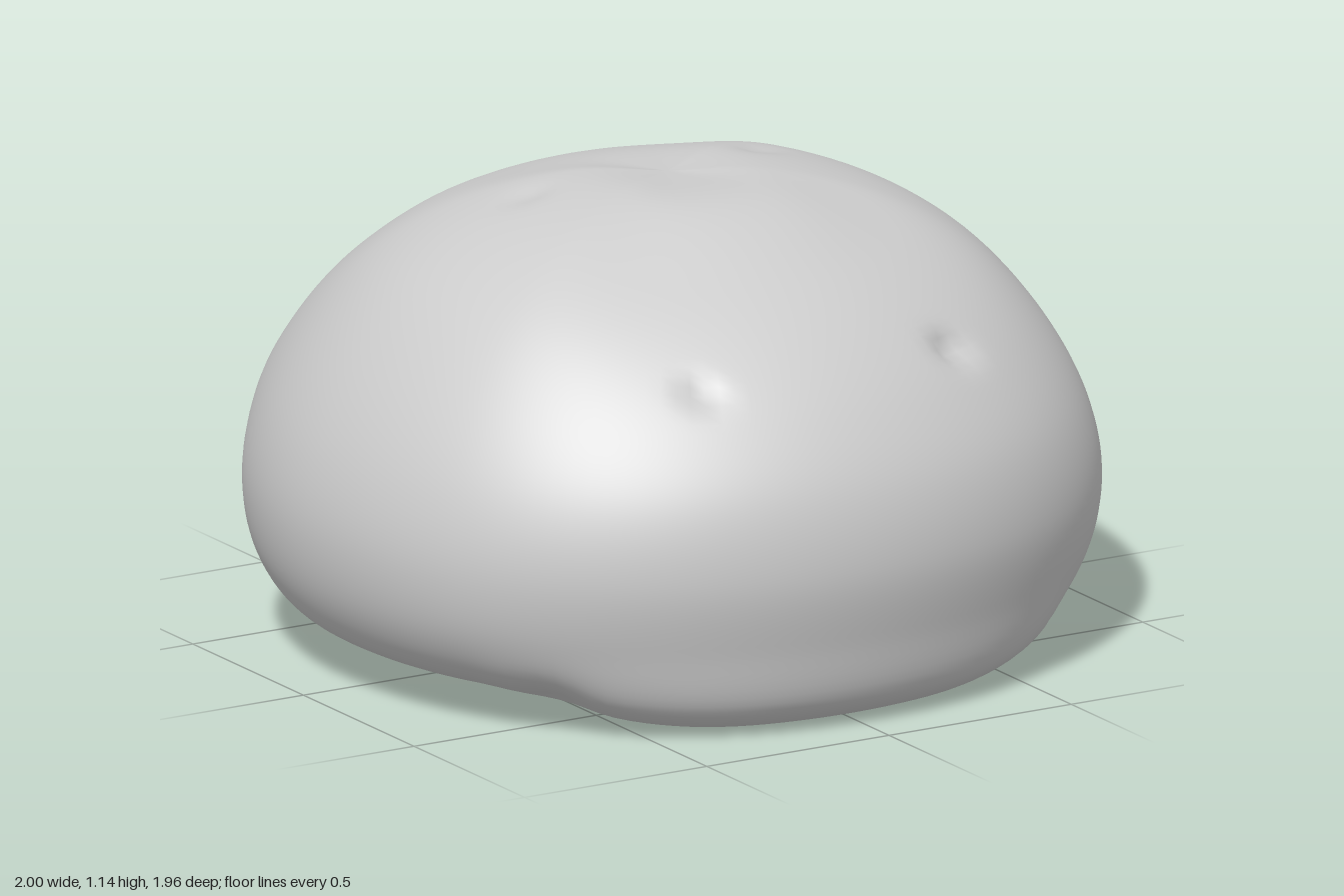
import * as THREE from 'three';
import { mergeVertices } from 'three/addons/utils/BufferGeometryUtils.js';

// Radius/height profiles from the hollow underside, round the rim, up to the crown
const makeProfile = (pairs) =>
  new THREE.CatmullRomCurve3(pairs.map(([r, y]) => new THREE.Vector3(r, y, 0)), false, 'centripetal');

const SIDE = makeProfile([[0, 0.18], [0.3, 0.175], [0.44, 0.145], [0.6, 0.095], [0.75, 0.07], [0.89, 0.12], [0.97, 0.23],
  [1, 0.4], [0.965, 0.58], [0.86, 0.775], [0.7, 0.95], [0.5, 1.065], [0.22, 1.135], [0, 1.13]]);
const FRONT = makeProfile([[0, 0.18], [0.28, 0.165], [0.44, 0.115], [0.62, 0.045], [0.78, 0], [0.9, 0.06], [0.95, 0.22],
  [0.98, 0.4], [0.95, 0.58], [0.86, 0.74], [0.73, 0.88], [0.56, 1.0], [0.3, 1.12], [0, 1.13]]);
const BACK = makeProfile([[0, 0.18], [0.3, 0.17], [0.44, 0.125], [0.6, 0.065], [0.77, 0.03], [0.9, 0.08], [0.935, 0.22],
  [0.975, 0.4], [0.97, 0.6], [0.88, 0.75], [0.75, 0.88], [0.58, 1.005], [0.25, 1.115], [0, 1.13]]);

// Small dents: x, y, z, width, depth
const DENTS = [
  [0.35, 0.83, 0.73, 0.045, 0.035], [-0.35, 0.82, 0.73, 0.04, 0.025],
  [0.65, 0.09, 0.58, 0.08, 0.03], [-0.65, 0.09, 0.58, 0.08, 0.03],
  [0.38, 0.75, -0.79, 0.05, 0.045], [-0.32, 0.8, -0.8, 0.06, 0.025],
  [0.3, 1.11, -0.08, 0.05, 0.012], [-0.35, 1.1, -0.06, 0.05, 0.012],
];

const bell = (d, width) => Math.exp(-((d / width) ** 2));

function capGeometry() {
  const rows = 100, columns = 144;
  const blank = Array.from({ length: rows + 1 }, (_, j) => new THREE.Vector2(1, j / rows));
  const geometry = new THREE.LatheGeometry(blank, columns);
  const position = geometry.attributes.position;
  const lobeCentre = new THREE.Vector3(0, 0.45, -0.98);
  const core = new THREE.Vector3(0, 0.5, 0);
  const p = new THREE.Vector3(), inward = new THREE.Vector3(), q = new THREE.Vector3();

  for (let i = 0; i < position.count; i++) {
    const angle = (Math.floor(i / (rows + 1)) % columns) / columns * Math.PI * 2;
    const t = (i % (rows + 1)) / rows;
    const c = Math.cos(angle);

    // Blend the side profile into the front and back lobes, fuller at the front corners
    const side = SIDE.getPoint(t), end = (c > 0 ? FRONT : BACK).getPoint(t);
    side.lerp(end, THREE.MathUtils.smoothstep(Math.abs(c), 0.45, 0.97));
    const corner = c > 0 ? 0.025 * Math.sin(2 * angle) ** 2 : 0;
    const r = Math.max(0, side.x) * (1 + corner);
    p.set(r * Math.sin(angle), side.y, r * c);

    // Radial folds on the front wall of the hollow
    if (t < 0.35) p.y += 0.012 * Math.max(0, c) * Math.cos(angle * 9) * bell(r - 0.5, 0.13);

    // Soft crease around the back lobe, then the small dents
    inward.copy(core).sub(p).normalize();
    let push = 0;
    if (t > 0.35 && p.z < 0) {
      const fade = THREE.MathUtils.smoothstep(0.95 - p.y, 0, 0.3) * THREE.MathUtils.smoothstep(p.y, 0.1, 0.4);
      push += 0.016 * fade * bell(p.distanceTo(lobeCentre) - 0.66, 0.1);
    }
    for (const [x, y, z, width, depth] of DENTS) push += depth * bell(p.distanceTo(q.set(x, y, z)), width);
    p.addScaledVector(inward, push);

    position.setXYZ(i, p.x, p.y, p.z);
  }

  // Weld the seam and poles so the shading is smooth
  geometry.deleteAttribute('uv');
  geometry.deleteAttribute('normal');
  const welded = mergeVertices(geometry, 1e-5);
  welded.computeVertexNormals();
  return welded;
}

export function createModel() {
  const group = new THREE.Group();
  group.name = 'roundedCap';
  const paleGrey = new THREE.MeshStandardMaterial({ color: 0xcccccc });
  paleGrey.name = 'paleGrey';
  const cap = new THREE.Mesh(capGeometry(), paleGrey);
  cap.name = 'hollowCap';
  group.add(cap);
  return group;
}
